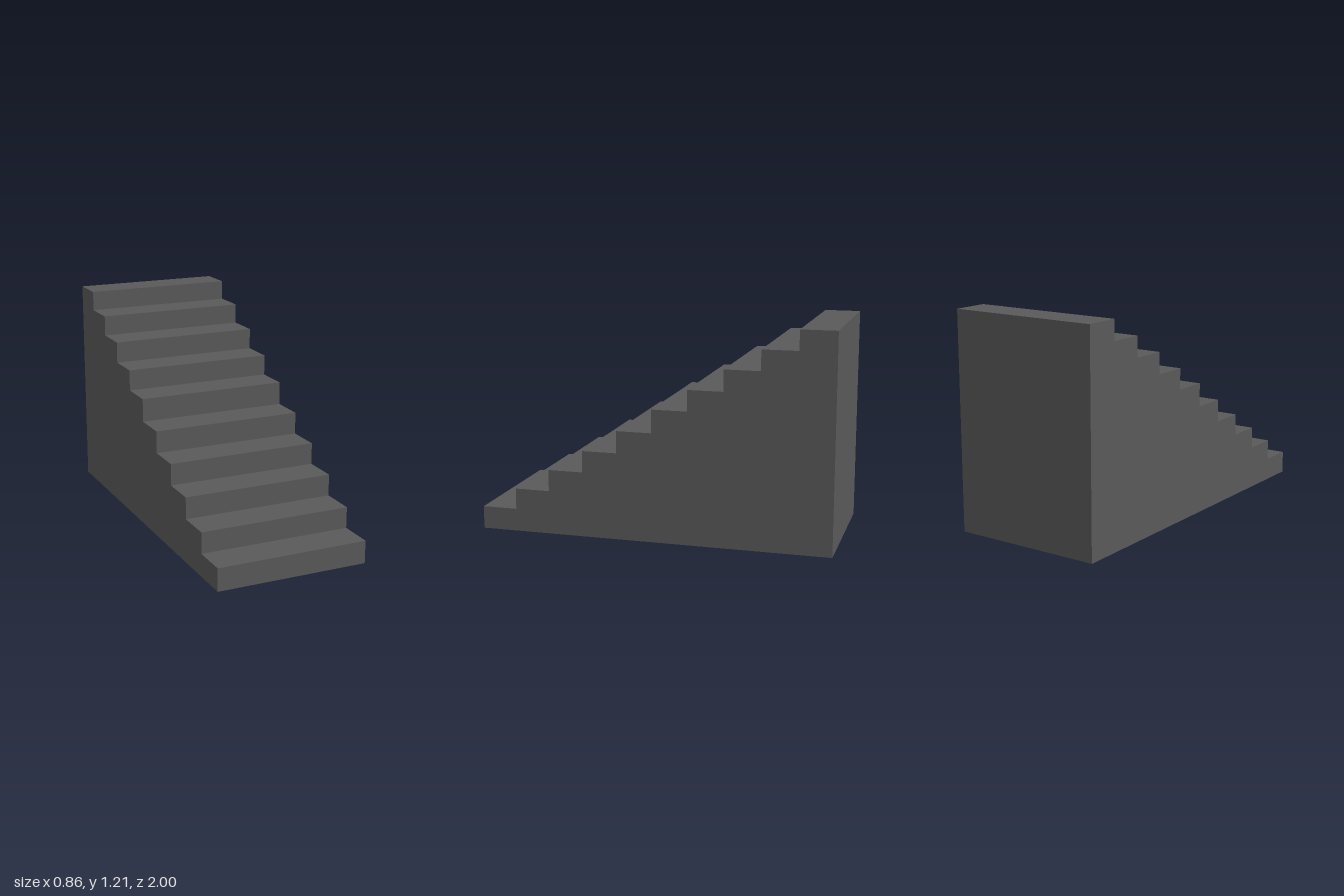
import * as THREE from 'three';

export function createModel() {
  const model = new THREE.Group();
  model.name = 'staircase';

  const concrete = new THREE.MeshStandardMaterial({ color: 0x595959 });
  concrete.name = 'dark grey concrete';

  const width = 0.86;
  const treadDepth = 0.2;
  // Height of each tread, from the front step to the top landing
  const heights = [0.128, 0.247, 0.369, 0.491, 0.616, 0.747, 0.865, 0.985, 1.1, 1.212];

  // Stepped side profile: shape x becomes the model's z
  const profile = new THREE.Shape();
  profile.moveTo(-1, 0);
  profile.lineTo(1, 0);
  heights.forEach((h, i) => {
    const front = 1 - i * treadDepth;
    profile.lineTo(front, h);
    profile.lineTo(front - treadDepth, h);
  });
  profile.closePath();

  // Solid flight of steps, extruded across its width
  const geometry = new THREE.ExtrudeGeometry(profile, { depth: width, bevelEnabled: false });
  geometry.translate(0, 0, -width / 2);
  geometry.rotateY(-Math.PI / 2);

  const steps = new THREE.Mesh(geometry, concrete);
  steps.name = 'steps';
  model.add(steps);
  return model;
}
